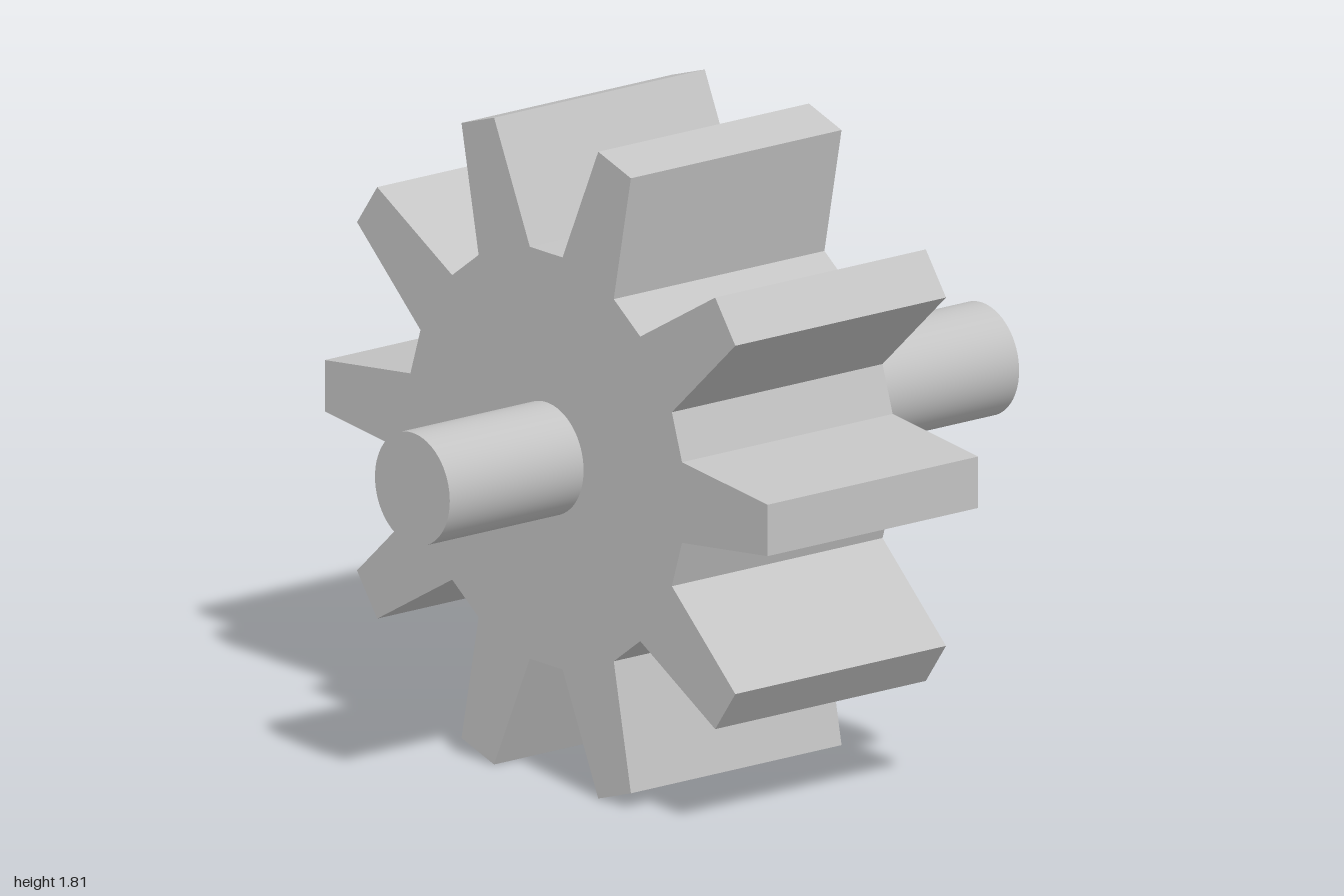
import * as THREE from 'three';

const TEETH = 10;
const AXLE_Y = 0.906;
const TIP = { r: 0.929, half: 0.072 };   // tooth end: distance from the axle, half width
const ROOT = { r: 0.57, half: 0.113 };   // tooth foot
const GEAR_X = [-0.53, 0.21];
const SHAFT_RADIUS = 0.157;

// Outline of the wheel: four corners per tooth, flat lands between the teeth
function gearShape() {
  const corners = [
    [ROOT.r, -ROOT.half], [TIP.r, -TIP.half],
    [TIP.r, TIP.half], [ROOT.r, ROOT.half],
  ];
  const points = [];
  for (let i = 0; i < TEETH; i++) {
    const angle = (i / TEETH) * Math.PI * 2;
    for (const [x, y] of corners) {
      points.push(new THREE.Vector2(x, y).rotateAround(new THREE.Vector2(), angle));
    }
  }
  return new THREE.Shape(points);
}

export function createModel() {
  const model = new THREE.Group();
  model.name = 'gearOnShaft';
  const steel = new THREE.MeshStandardMaterial({ color: 0xc4c4c4 });
  steel.name = 'light grey steel';

  // Toothed wheel, extruded along the axle
  const gearGeometry = new THREE.ExtrudeGeometry(gearShape(), {
    depth: GEAR_X[1] - GEAR_X[0], bevelEnabled: false,
  });
  gearGeometry.rotateY(Math.PI / 2);
  const gear = new THREE.Mesh(gearGeometry, steel);
  gear.name = 'gearWheel';
  gear.position.set(GEAR_X[0], AXLE_Y, 0);
  model.add(gear);

  // Round shaft through the wheel
  const shaftGeometry = new THREE.CylinderGeometry(SHAFT_RADIUS, SHAFT_RADIUS, 2, 64);
  shaftGeometry.rotateZ(Math.PI / 2);
  const shaft = new THREE.Mesh(shaftGeometry, steel);
  shaft.name = 'shaft';
  shaft.position.y = AXLE_Y;
  model.add(shaft);

  return model;
}
